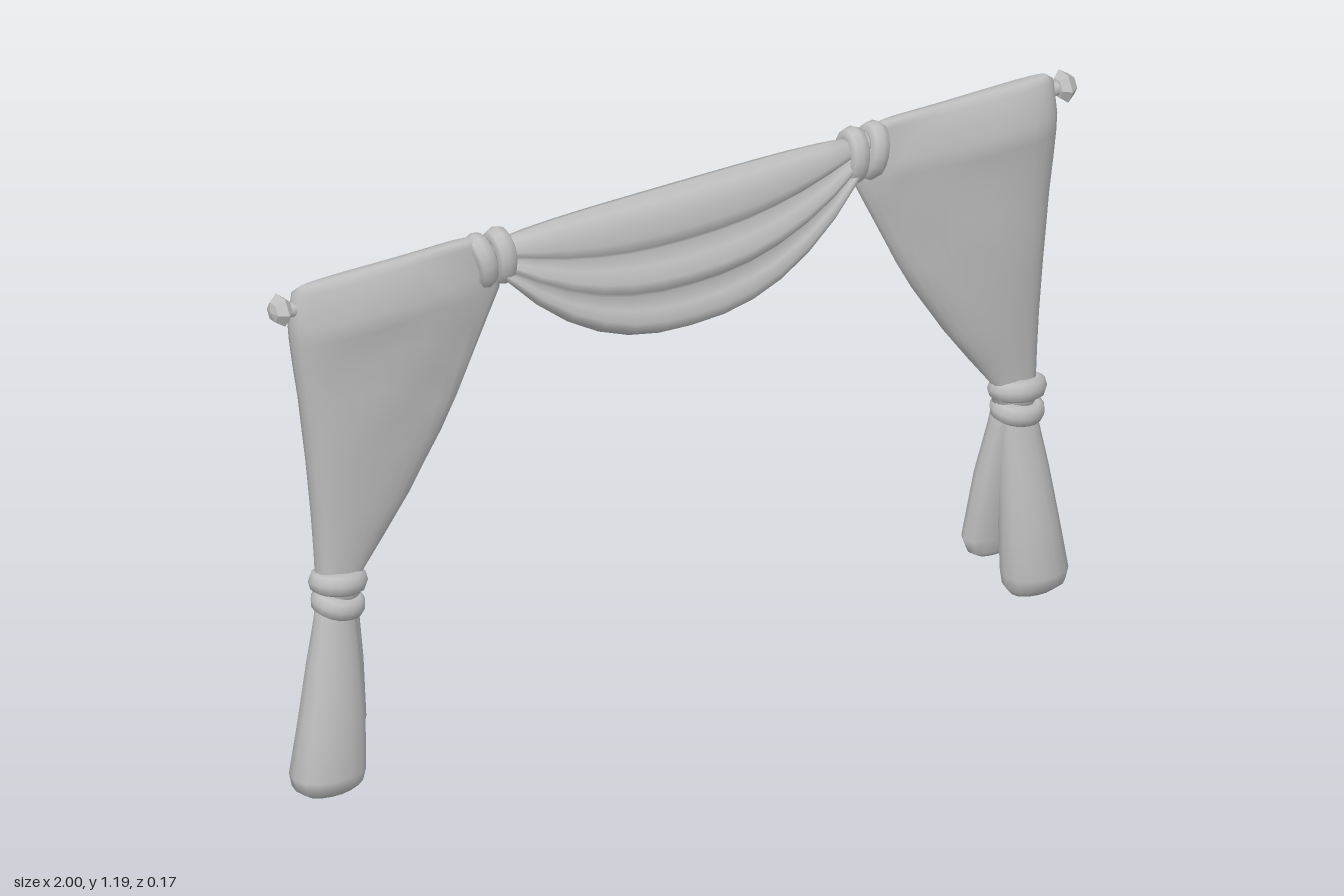
import * as THREE from 'three';

const cloth = new THREE.MeshStandardMaterial({ color: 0xbfbfbf });
cloth.name = 'grey cloth';

// Closed skin over a list of equal-length loops, capped and turned outwards
function loft(loops) {
  const n = loops[0].length, pts = loops.flat(), index = [];
  for (let r = 0; r < loops.length - 1; r++) {
    for (let i = 0; i < n; i++) {
      const a = r * n + i, b = r * n + (i + 1) % n;
      index.push(a, b, a + n, b, b + n, a + n);
    }
  }
  [0, loops.length - 1].forEach((r) => {
    const c = pts.length, mid = new THREE.Vector3();
    loops[r].forEach((p) => mid.addScaledVector(p, 1 / n));
    pts.push(mid);
    for (let i = 0; i < n; i++) {
      const a = r * n + i, b = r * n + (i + 1) % n;
      if (r === 0) index.push(c, b, a); else index.push(c, a, b);
    }
  });
  let volume = 0;
  const cross = new THREE.Vector3();
  for (let i = 0; i < index.length; i += 3) {
    volume += pts[index[i]].dot(cross.crossVectors(pts[index[i + 1]], pts[index[i + 2]]));
  }
  if (volume < 0) index.reverse();
  const g = new THREE.BufferGeometry().setFromPoints(pts);
  g.setIndex(index);
  g.computeVertexNormals();
  return g;
}

function add(group, name, geometry) {
  const mesh = new THREE.Mesh(geometry, cloth);
  mesh.name = name;
  group.add(mesh);
  return mesh;
}

// Rows are [y, inner x, outer x, z centre, half depth]
const TAIL_FRONT = [
  [0.46, 0.8, 0.88, 0, 0.028], [0.4, 0.795, 0.888, 0.004, 0.032], [0.3, 0.79, 0.91, 0.012, 0.043],
  [0.18, 0.787, 0.933, 0.02, 0.053], [0.06, 0.79, 0.957, 0.025, 0.06],
  [0.03, 0.795, 0.95, 0.023, 0.054], [0.012, 0.81, 0.925, 0.02, 0.035],
];
const TAIL_BACK = [
  [0.46, 0.785, 0.86, -0.005, 0.025], [0.4, 0.777, 0.862, -0.012, 0.03], [0.28, 0.755, 0.86, -0.03, 0.036],
  [0.13, 0.735, 0.855, -0.048, 0.036], [0.1, 0.745, 0.848, -0.046, 0.03], [0.088, 0.765, 0.835, -0.044, 0.018],
];
const DRAPE = [
  [1.185, 0.49, 0.925, 0, 0.022], [1.172, 0.46, 0.945, 0, 0.042], [1.1, 0.43, 0.95, 0, 0.062],
  [1.06, 0.43, 0.946, 0, 0.064], [1.0, 0.46, 0.938, 0, 0.063], [0.92, 0.5, 0.925, 0, 0.06],
  [0.84, 0.54, 0.914, 0, 0.057], [0.77, 0.58, 0.905, 0, 0.054], [0.65, 0.66, 0.893, 0, 0.047],
  [0.57, 0.72, 0.887, 0, 0.04], [0.5, 0.775, 0.882, 0, 0.036], [0.43, 0.785, 0.877, 0, 0.033],
];

function sideCurtain(side, dx) {
  const group = new THREE.Group();
  const shift = (x) => x + dx * THREE.MathUtils.clamp((0.95 - x) / 0.1, 0, 1);

  // Rounded cross-section rows; pleats fan out from the top knot
  const hang = (rows, n, pleated) => loft(rows.map(([y, x0, x1, zc, d]) =>
    Array.from({ length: n }, (_, i) => {
      const a = i / n * Math.PI * 2, u = (1 - Math.cos(a)) / 2, s = Math.sin(a);
      const x = shift(x0 + (x1 - x0) * u);
      let half = d * Math.pow(Math.abs(s), 0.75);
      if (pleated) {
        const near = THREE.MathUtils.smoothstep(y, 0.6, 1.05);
        half *= 1 - 0.5 * near * (1 - u);
        const fan = Math.atan2(1.14 - y, x - 0.4);
        half += 0.006 * Math.sin(fan * 13) * Math.abs(s) * near;
      }
      return new THREE.Vector3(side * x, y, zc + Math.sign(s) * half);
    })));

  add(group, 'curtainDrape', hang(DRAPE, 28, true));
  add(group, 'frontTail', hang(TAIL_FRONT, 14, false));
  add(group, 'backTail', hang(TAIL_BACK, 12, false));

  // Pair of bands at the waist
  [[0.482, -0.12], [0.432, -0.2]].forEach(([y, tilt], i) => {
    const g = new THREE.TorusGeometry(0.046, 0.02, 8, 16);
    g.rotateX(Math.PI / 2).scale(i ? 0.92 : 1, 1.25, 0.84);
    const band = add(group, 'tiebackBand', g);
    band.position.set(side * (0.834 + dx), y, 0.004);
    band.rotation.set(i ? 0.12 : -0.12, 0, tilt * (side > 0 ? 0.8 : 1) * -side * (side > 0 ? -1 : 1));
  });

  // Pair of bands at the top knot, leaning into a V
  [[0.43, 0.1], [0.478, 0.22]].forEach(([x, tilt]) => {
    const g = new THREE.TorusGeometry(0.046, 0.02, 8, 16);
    g.rotateY(Math.PI / 2).scale(1.2, 1, 0.7);
    const band = add(group, 'knotBand', g);
    band.position.set(side * (x + dx * 0.8), 1.126, 0);
    band.rotation.z = -side * tilt;
  });

  // Faceted finial on the rod end
  const f = new THREE.LatheGeometry([[0, 0], [0.022, 0.004], [0.036, 0.02], [0.022, 0.04], [0, 0.046]]
    .map((p) => new THREE.Vector2(...p)), 6).toNonIndexed();
  f.computeVertexNormals();
  const finial = add(group, 'rodFinial', f);
  finial.position.set(side * 0.954, 1.145, 0);
  finial.rotation.z = -side * Math.PI / 2;
  return group;
}

// Centre swag: three overlapping folds swept between the knots
function swagGeometry() {
  // [z, drop from top to bottom]
  const profile = [
    [0, 0], [0.03, 0.03], [0.046, 0.13], [0.056, 0.25], [0.054, 0.33], [0.042, 0.37],
    [0.06, 0.46], [0.076, 0.56], [0.073, 0.64], [0.056, 0.69], [0.073, 0.78], [0.084, 0.87],
    [0.076, 0.95], [0.05, 1], [0.02, 0.99], [0.004, 0.9], [-0.004, 0.8], [0.01, 0.69],
    [-0.014, 0.62], [-0.022, 0.5], [-0.008, 0.37], [-0.03, 0.27], [-0.036, 0.14], [-0.025, 0.03],
  ];
  const loops = [];
  for (let i = 0; i <= 12; i++) {
    const t = i / 6 - 1, x = 0.008 + 0.44 * t, e = Math.pow(Math.abs(t), 2.3);
    const top = 1.178 - 0.012 * e * e, bottom = 0.87 + 0.215 * e;
    loops.push(profile.map(([z, v]) =>
      new THREE.Vector3(x, top + (bottom - top) * v, z * (1 - 0.55 * e))));
  }
  return loft(loops);
}

export function createModel() {
  const model = new THREE.Group();
  model.name = 'curtains';

  add(model, 'centreSwag', swagGeometry());
  const rod = add(model, 'rod', new THREE.CylinderGeometry(0.016, 0.016, 1.93, 8));
  rod.rotation.z = Math.PI / 2;
  rod.position.y = 1.145;

  const left = sideCurtain(1, 0.022);
  left.name = 'leftCurtain';
  const right = sideCurtain(-1, 0);
  right.name = 'rightCurtain';
  right.position.y = 0.006;
  model.add(left, right);
  model.position.y = -0.006;
  return model;
}
